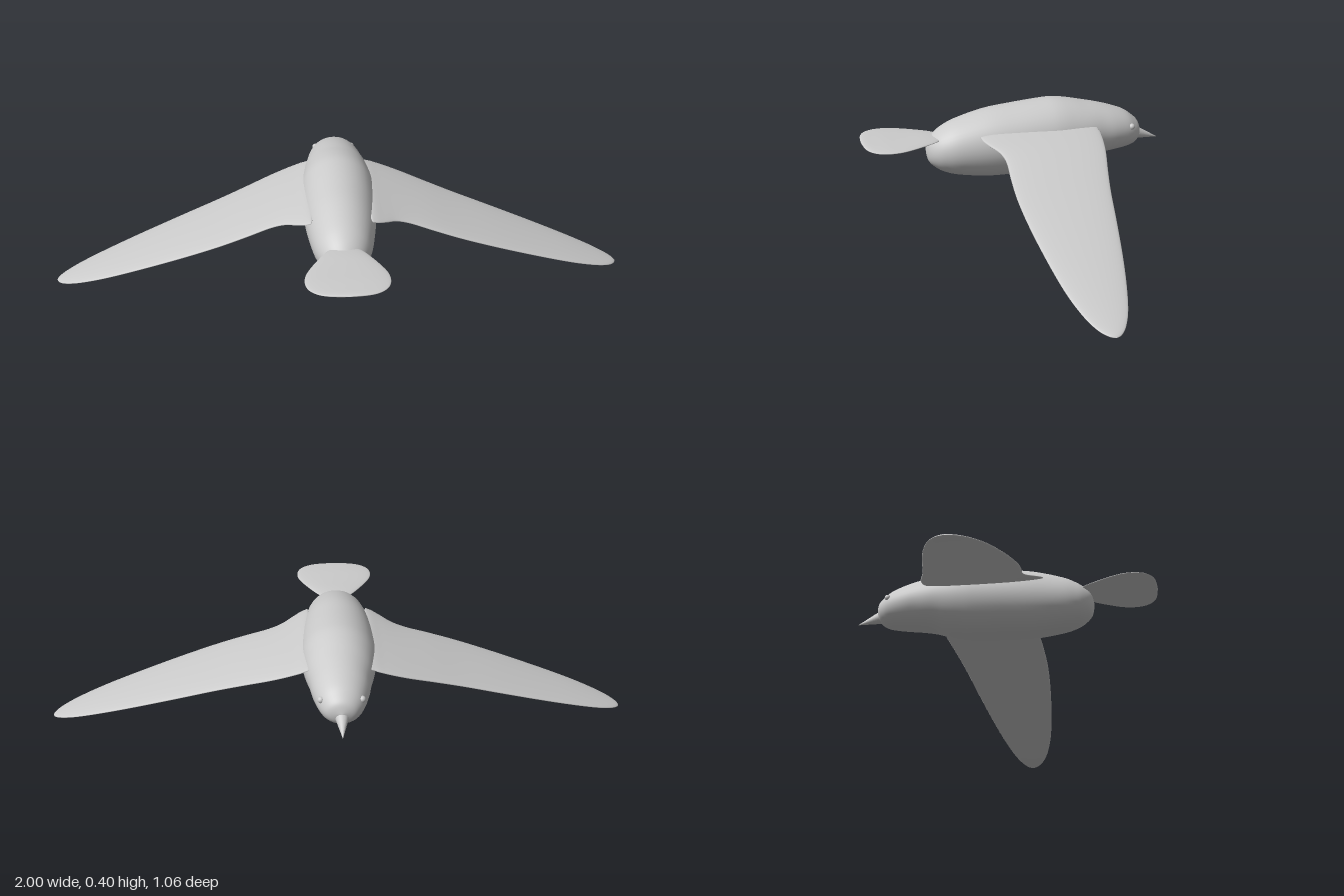
import * as THREE from 'three';

const material = new THREE.MeshStandardMaterial({ color: 0xcccccc, roughness: 0.8 });

// Catmull-Rom through one column of the section table
function sample(rows, col, t) {
  const f = t * (rows.length - 1);
  const i = Math.min(Math.floor(f), rows.length - 2);
  const u = f - i;
  const at = (k) => rows[Math.max(0, Math.min(rows.length - 1, k))][col];
  const [a, b, c, d] = [at(i - 1), at(i), at(i + 1), at(i + 2)];
  return b + 0.5 * u * (c - a + u * (2 * a - 5 * b + 4 * c - d + u * (3 * (b - c) + d - a)));
}

// Smooth loft of ellipses; each row is [station, centre u, centre v, half u, half v].
// place() turns (station, u, v) into a point; flip reverses the winding.
function loft(name, rows, place, flip = false, sides = 40) {
  const rings = (rows.length - 1) * 5;
  const positions = [];
  const index = [];
  for (let i = 0; i <= rings; i++) {
    const [s, cu, cv, hu, hv] = [0, 1, 2, 3, 4].map((c) => sample(rows, c, i / rings));
    for (let j = 0; j < sides; j++) {
      const a = (j / sides) * Math.PI * 2;
      positions.push(...place(s, cu + Math.max(hu, 0.0005) * Math.cos(a), cv + Math.max(hv, 0.0005) * Math.sin(a)));
      if (i === rings) continue;
      const k = (j + 1) % sides;
      const [p, q, r, t] = [i * sides + j, i * sides + k, (i + 1) * sides + j, (i + 1) * sides + k];
      if (flip) index.push(p, r, q, q, r, t);
      else index.push(p, q, r, q, t, r);
    }
  }
  const geometry = new THREE.BufferGeometry();
  geometry.setAttribute('position', new THREE.Float32BufferAttribute(positions, 3));
  geometry.setIndex(index);
  geometry.computeVertexNormals();
  const mesh = new THREE.Mesh(geometry, material);
  mesh.name = name;
  return mesh;
}

export function createModel() {
  const group = new THREE.Group();
  group.name = 'bird';

  // Body and head in one loft, running from the head to the rump
  const body = [
    [-0.461, 0, 0.267, 0, 0],
    [-0.45, 0, 0.267, 0.04, 0.033],
    [-0.43, 0, 0.268, 0.062, 0.052],
    [-0.4, 0, 0.274, 0.078, 0.067],
    [-0.35, 0, 0.28, 0.093, 0.08],
    [-0.3, 0, 0.284, 0.102, 0.09],
    [-0.25, 0, 0.285, 0.113, 0.1],
    [-0.2, 0, 0.282, 0.121, 0.114],
    [-0.15, 0, 0.28, 0.127, 0.123],
    [-0.1, 0, 0.276, 0.129, 0.126],
    [0, 0, 0.27, 0.126, 0.123],
    [0.1, 0, 0.264, 0.117, 0.117],
    [0.2, 0, 0.257, 0.1, 0.097],
    [0.25, 0, 0.253, 0.083, 0.078],
    [0.28, 0, 0.251, 0.063, 0.058],
    [0.3, 0, 0.25, 0.035, 0.035],
    [0.308, 0, 0.25, 0, 0],
  ];
  group.add(loft('body', body, (s, u, v) => [u, v, s]));

  // Fan tail, a thin lens
  const tail = [
    [0.262, 0, 0.298, 0, 0],
    [0.266, 0, 0.298, 0.035, 0.004],
    [0.28, 0, 0.298, 0.058, 0.006],
    [0.32, 0, 0.298, 0.086, 0.008],
    [0.37, 0, 0.298, 0.115, 0.008],
    [0.41, 0, 0.298, 0.132, 0.008],
    [0.45, 0, 0.298, 0.136, 0.008],
    [0.485, 0, 0.298, 0.126, 0.007],
    [0.51, 0, 0.298, 0.1, 0.006],
    [0.523, 0, 0.298, 0.062, 0.004],
    [0.528, 0, 0.298, 0, 0],
  ];
  group.add(loft('tail', tail, (s, u, v) => [u, v, s]));

  // Wings: [x, leading z, trailing z, half thickness], drooping towards the tip
  const outline = [
    [0.095, -0.06, -0.06, 0],
    [0.098, -0.25, 0.12, 0.008],
    [0.115, -0.272, 0.14, 0.013],
    [0.15, -0.272, 0.122, 0.013],
    [0.19, -0.267, 0.096, 0.013],
    [0.24, -0.257, 0.087, 0.013],
    [0.32, -0.236, 0.094, 0.013],
    [0.42, -0.212, 0.099, 0.012],
    [0.55, -0.186, 0.094, 0.012],
    [0.7, -0.154, 0.08, 0.011],
    [0.82, -0.124, 0.063, 0.01],
    [0.91, -0.096, 0.04, 0.008],
    [0.965, -0.07, 0.015, 0.006],
    [0.992, -0.048, -0.01, 0.004],
    [1, -0.03, -0.03, 0],
  ];
  const wing = outline.map(([x, lead, trail, thick]) =>
    [x, (lead + trail) / 2, 0.004 + 0.348 * (1 - x), (trail - lead) / 2, thick]);
  for (const side of [1, -1]) {
    const label = side > 0 ? 'left' : 'right';
    group.add(loft(label + 'Wing', wing, (s, u, v) => [side * s, v, u], side > 0));

    // Eye
    const eye = new THREE.Mesh(new THREE.SphereGeometry(0.011, 20, 14), material);
    eye.name = label + 'Eye';
    eye.position.set(side * 0.066, 0.295, -0.411);
    group.add(eye);
  }

  // Beak, a cone pointing forward and slightly down
  const tip = new THREE.Vector3(0, 0.227, -0.531);
  const base = new THREE.Vector3(0, 0.255, -0.435);
  const axis = tip.clone().sub(base);
  const beak = new THREE.Mesh(new THREE.ConeGeometry(0.026, axis.length(), 28), material);
  beak.name = 'beak';
  beak.position.copy(base).add(tip).multiplyScalar(0.5);
  beak.quaternion.setFromUnitVectors(new THREE.Vector3(0, 1, 0), axis.normalize());
  group.add(beak);

  return group;
}
